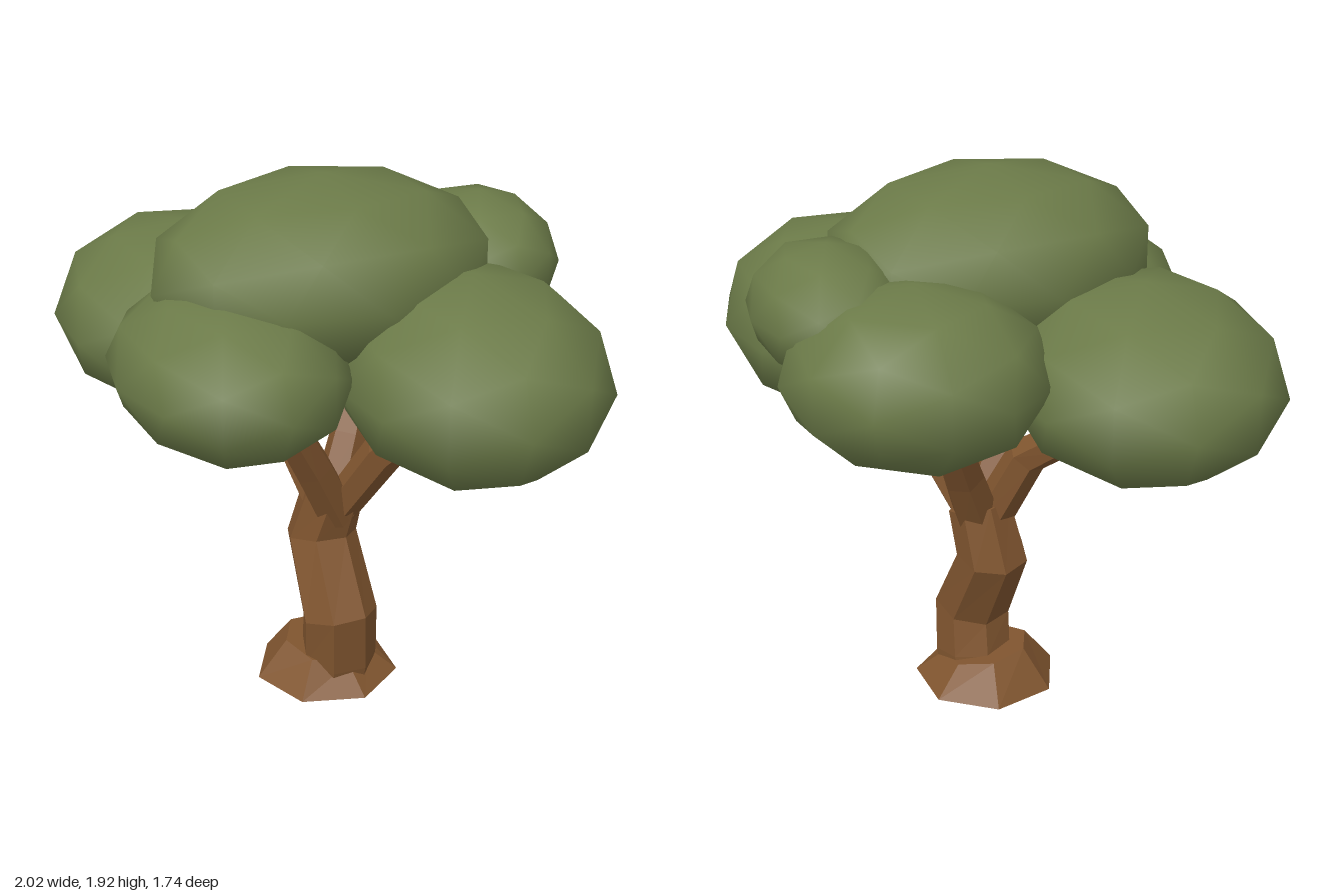
import * as THREE from 'three';
import { mergeVertices } from 'three/addons/utils/BufferGeometryUtils.js';

const bark = new THREE.MeshStandardMaterial({ color: 0x80552f, flatShading: true });
const leaf = new THREE.MeshStandardMaterial({ color: 0x6b7a48 });

// Faceted limb through rings given as [x, y, z, radius], each ring square to the path
function limb(name, rings, sides = 7) {
  const pts = rings.map(([x, y, z]) => new THREE.Vector3(x, y, z));
  const pos = [], idx = [], last = rings.length - 1;
  pts.forEach((p, i) => {
    const t = pts[Math.min(i + 1, last)].clone().sub(pts[Math.max(i - 1, 0)]).normalize();
    const u = new THREE.Vector3(0, 0, 1).cross(t).normalize();
    const v = t.clone().cross(u);
    for (let j = 0; j < sides; j++) {
      const a = (j / sides) * Math.PI * 2;
      const q = p.clone()
        .addScaledVector(u, Math.cos(a) * rings[i][3])
        .addScaledVector(v, Math.sin(a) * rings[i][3]);
      pos.push(q.x, q.y, q.z);
    }
  });
  for (let i = 0; i < last; i++) {
    for (let j = 0; j < sides; j++) {
      const k = (j + 1) % sides, a = i * sides, b = a + sides;
      idx.push(a + j, a + k, b + k, a + j, b + k, b + j);
    }
  }
  // End caps
  for (let j = 1; j < sides - 1; j++) {
    const e = last * sides;
    idx.push(0, j + 1, j, e, e + j, e + j + 1);
  }
  const geo = new THREE.BufferGeometry();
  geo.setAttribute('position', new THREE.Float32BufferAttribute(pos, 3));
  geo.setIndex(idx);
  geo.computeVertexNormals();
  const mesh = new THREE.Mesh(geo, bark);
  mesh.name = name;
  return mesh;
}

// Smooth-shaded leaf clump: a low-poly ellipsoid turned about the vertical
function clump(name, center, radii, yaw) {
  let geo = new THREE.IcosahedronGeometry(1.01, 1);
  geo.deleteAttribute('normal');
  geo.deleteAttribute('uv');
  geo = mergeVertices(geo, 1e-3);
  geo.scale(...radii);
  geo.computeVertexNormals();
  const mesh = new THREE.Mesh(geo, leaf);
  mesh.name = name;
  mesh.position.set(...center);
  mesh.rotation.y = yaw;
  return mesh;
}

// Root flare: a short skirt with an uneven upper rim
function rootFlare() {
  const sides = 7;
  const geo = new THREE.CylinderGeometry(0.15, 0.255, 0.11, sides, 1);
  const p = geo.attributes.position;
  for (let i = 0; i < p.count; i++) {
    if (p.getY(i) > 0) p.setY(i, p.getY(i) - 0.2 * p.getX(i));
  }
  const mesh = new THREE.Mesh(geo, bark);
  mesh.name = 'rootFlare';
  mesh.position.set(0.015, 0.115, -0.005);
  return mesh;
}

export function createModel() {
  const tree = new THREE.Group();
  tree.name = 'tree';

  // Crooked trunk
  const trunk = new THREE.Group();
  trunk.name = 'trunk';
  trunk.add(
    limb('trunkStem', [
      [0.055, 0.03, 0.005, 0.13],
      [0.07, 0.15, 0.02, 0.135],
      [0.08, 0.32, 0.045, 0.135],
      [-0.02, 0.58, -0.05, 0.125],
      [0.03, 0.76, -0.035, 0.11],
    ]),
    rootFlare(),
  );

  // Branches reaching into the clumps
  const branches = new THREE.Group();
  branches.name = 'branches';
  branches.add(
    limb('leftBranch', [[0.04, 0.68, -0.03, 0.065], [0.23, 0.97, 0.02, 0.072], [0.38, 1.12, 0.06, 0.062], [0.46, 1.2, 0.08, 0.05]], 6),
    limb('rightBranch', [[0.01, 0.68, -0.03, 0.075], [-0.14, 0.97, -0.05, 0.07], [-0.28, 1.07, -0.08, 0.062], [-0.4, 1.15, -0.1, 0.045]], 6),
    limb('frontBranch', [[0.05, 0.68, -0.02, 0.075], [0.0, 0.9, 0.09, 0.07], [-0.05, 1.1, 0.2, 0.062], [-0.08, 1.25, 0.26, 0.05]], 6),
    limb('backBranch', [[0.03, 0.7, -0.04, 0.085], [0.05, 0.92, -0.16, 0.073], [0.06, 1.15, -0.3, 0.064], [0.07, 1.25, -0.35, 0.055]], 6),
  );

  // Leaf crown
  const crown = new THREE.Group();
  crown.name = 'crown';
  crown.add(
    clump('topClump', [0.03, 1.615, 0.08], [0.46, 0.31, 0.575], -Math.PI / 4),
    clump('leftClump', [0.54, 1.35, 0.14], [0.435, 0.325, 0.53], 0.6),
    clump('rightClump', [-0.53, 1.34, -0.12], [0.45, 0.31, 0.545], 0.5),
    clump('frontClump', [-0.15, 1.395, 0.45], [0.36, 0.265, 0.475], Math.PI / 4),
    clump('backClump', [0.1, 1.42, -0.49], [0.43, 0.29, 0.39], 0),
    clump('smallBackClump', [0.42, 1.56, -0.38], [0.25, 0.215, 0.335], 0.7),
  );

  tree.add(trunk, branches, crown);
  return tree;
}
